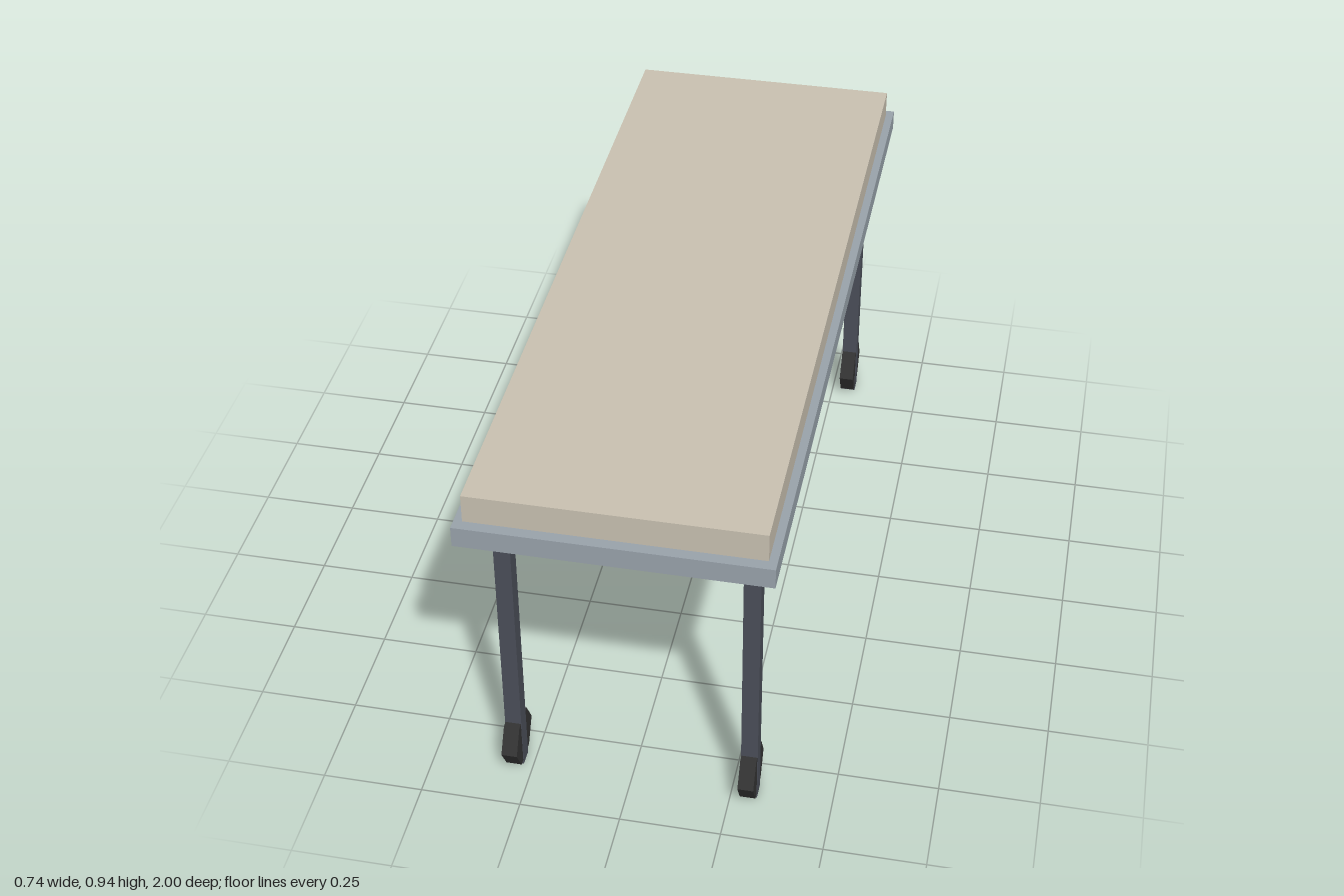
import * as THREE from 'three';

const paint = (name, color) => {
  const m = new THREE.MeshStandardMaterial({ color });
  m.name = name;
  return m;
};

export function createModel() {
  const group = new THREE.Group();
  group.name = 'wheeledBed';
  const cream = paint('cream padding', 0xc8c0b0);
  const steel = paint('grey steel', 0x98a2aa);
  const darkSteel = paint('dark steel', 0x4a4e58);
  const rubber = paint('black rubber', 0x333333);
  rubber.flatShading = true;

  const add = (name, geometry, material, x, y, z) => {
    const mesh = new THREE.Mesh(geometry, material);
    mesh.name = name;
    mesh.position.set(x, y, z);
    group.add(mesh);
  };

  // Frame and the slightly smaller mattress on it
  add('frame', new THREE.BoxGeometry(0.736, 0.053, 2), steel, 0, 0.8435, 0);
  add('mattress', new THREE.BoxGeometry(0.696, 0.073, 1.946), cream, 0, 0.9065, 0);

  // Square legs, each through a six-sided wheel with points fore and aft
  const leg = new THREE.BoxGeometry(0.041, 0.817, 0.042);
  const wheel = new THREE.CylinderGeometry(0.073, 0.073, 0.039, 6).rotateZ(Math.PI / 2);
  for (const [side, sx] of [['Left', 1], ['Right', -1]]) {
    for (const [end, sz] of [['front', 1], ['back', -1]]) {
      add(`${end}${side}Leg`, leg, darkSteel, sx * 0.295, 0.4085, sz * 0.845);
      add(`${end}${side}Wheel`, wheel, rubber, sx * 0.295, 0.076, sz * 0.845);
    }
  }
  return group;
}
